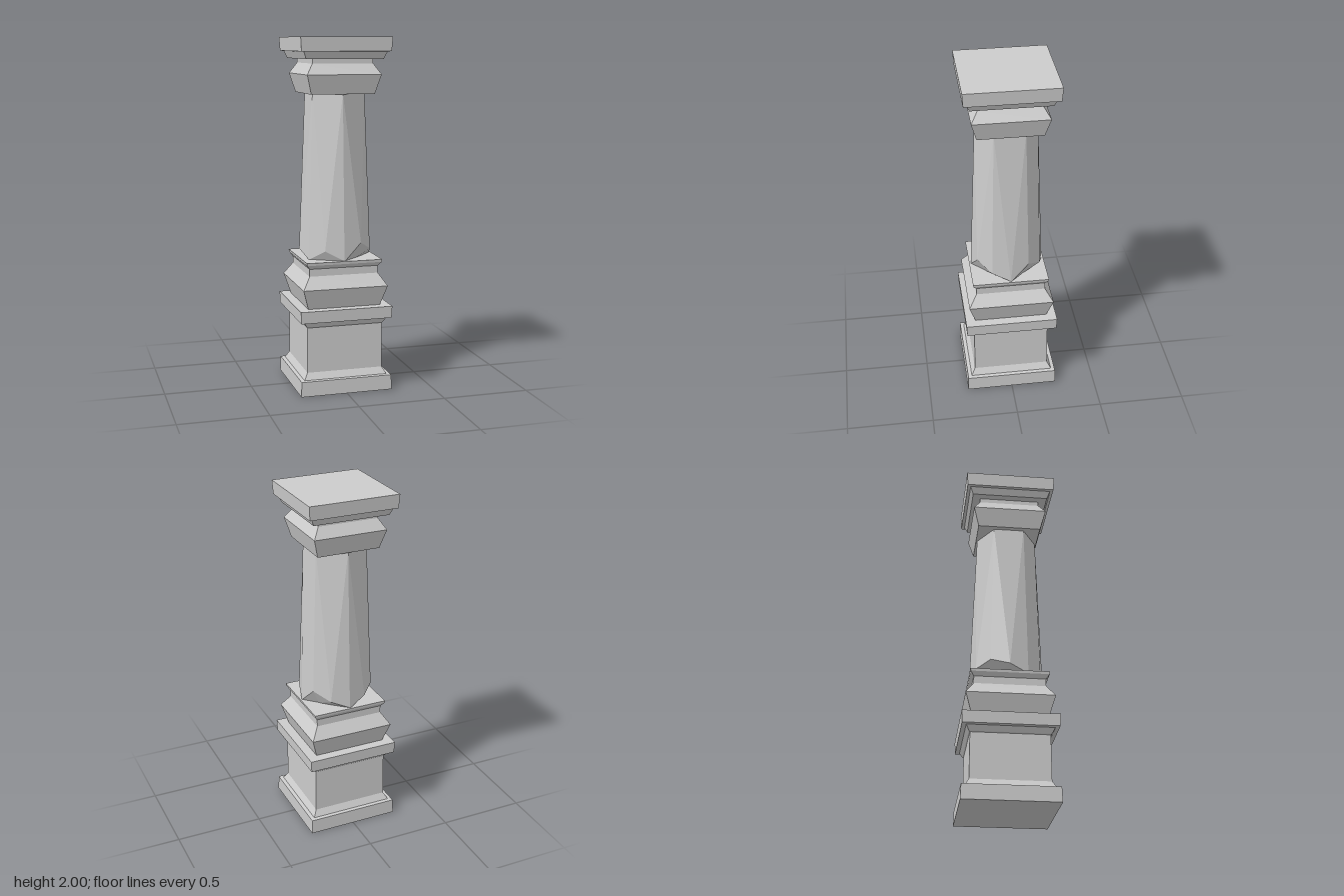
import * as THREE from 'three';

// Give every face its own flat normal
function facet(geometry) {
  const g = geometry.index ? geometry.toNonIndexed() : geometry;
  g.computeVertexNormals();
  return g;
}

// Square moulding from a profile of [half width, height], bottom to top
function squareMoulding(profile) {
  const first = profile[0], last = profile[profile.length - 1];
  const points = [[0, first[1]], ...profile, [0, last[1]]]
    .map(([w, y]) => new THREE.Vector2(w * Math.SQRT2, y));
  return facet(new THREE.LatheGeometry(points, 4, Math.PI / 4));
}

// Six-sided shaft that tapers upwards from a chipped, uneven foot
function shaftGeometry() {
  const n = 12;
  const chipY = [0.755, 0.85, 0.8, 0.755, 0.85, 0.8, 0.755, 0.8, 0.83, 0.8, 0.755, 0.81];
  const footR = [0.21, 0.155, 0.155, 0.21, 0.155, 0.155, 0.21, 0.155, 0.14, 0.155, 0.21, 0.182];
  const at = (k, r, y) => {
    const a = (k * Math.PI) / 6;
    return [r * Math.sin(a), y, r * Math.cos(a)];
  };
  const foot = (k) => at(k, footR[k % n], 0.75);
  const chip = (k) => at(k, 0.21, chipY[k % n]);
  const top = (k) => at(k, k % 2 ? 0.175 * Math.cos(Math.PI / 6) : 0.175, 1.69);
  const v = [];
  const tri = (...corners) => corners.forEach((c) => v.push(...c));
  for (let k = 0; k < n; k++) {
    const j = k + 1;
    // Undercut below the chips
    tri(foot(k), foot(j), chip(j));
    tri(foot(k), chip(j), chip(k));
    // Tapering facets, with diagonals fanning from the six upper corners
    if (k % 2 === 0) {
      tri(chip(k), chip(j), top(k));
      tri(chip(j), top(j), top(k));
    } else {
      tri(chip(k), chip(j), top(j));
      tri(chip(k), top(j), top(k));
    }
  }
  const g = new THREE.BufferGeometry();
  g.setAttribute('position', new THREE.Float32BufferAttribute(v, 3));
  return facet(g);
}

export function createModel() {
  const group = new THREE.Group();
  group.name = 'column';
  const stone = new THREE.MeshStandardMaterial({ color: 0xcccccc });
  stone.name = 'pale grey stone';
  const add = (name, geometry) => {
    const mesh = new THREE.Mesh(geometry, stone);
    mesh.name = name;
    group.add(mesh);
  };

  // Pedestal with a plinth below and a slab above
  add('pedestal', squareMoulding([
    [0.267, 0], [0.264, 0.085], [0.242, 0.087], [0.22, 0.125], [0.218, 0.385],
    [0.224, 0.39], [0.24, 0.42], [0.264, 0.422], [0.267, 0.49],
  ]));

  // Flared base block between the pedestal and the shaft
  add('shaftBase', squareMoulding([
    [0.21, 0.488], [0.246, 0.605], [0.2, 0.675], [0.2, 0.717], [0.218, 0.74], [0.22, 0.755],
  ]));

  add('shaft', shaftGeometry());

  // Capital: flared block, neck, step and top slab
  add('capital', squareMoulding([
    [0.182, 1.687], [0.212, 1.795], [0.174, 1.855], [0.174, 1.88], [0.22, 1.88],
    [0.237, 1.92], [0.255, 1.922], [0.26, 2],
  ]));

  return group;
}
